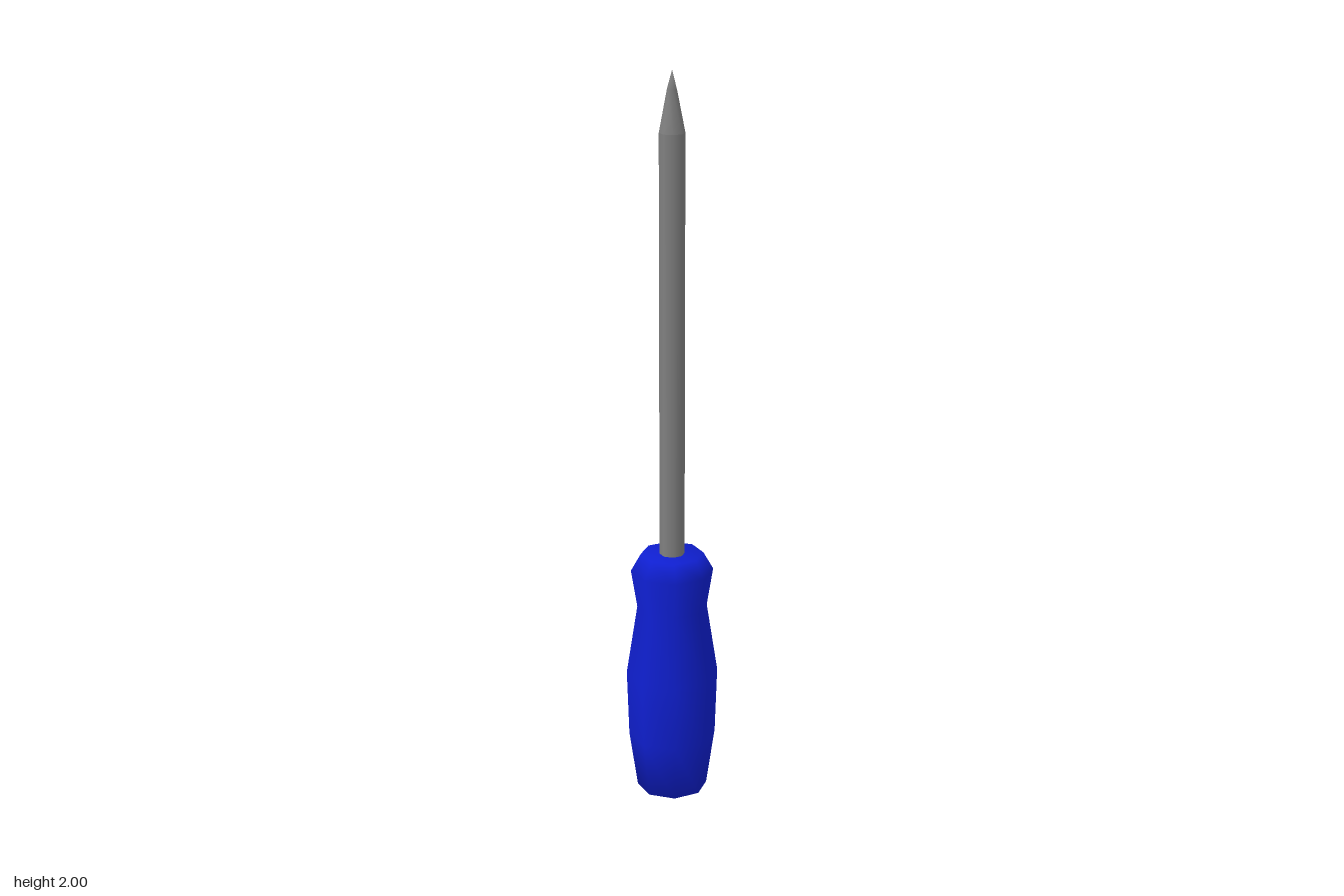
import * as THREE from 'three';
import { mergeVertices } from 'three/addons/utils/BufferGeometryUtils.js';

const SIDES = 8;

// Eight-sided turned part from [radius, height] pairs, listed bottom to top
function turned(name, profile, color) {
  const points = profile.map(([r, y]) => new THREE.Vector2(r, y));
  const mesh = new THREE.Mesh(
    new THREE.LatheGeometry(points, SIDES),
    new THREE.MeshStandardMaterial({ color })
  );
  mesh.name = name;
  return mesh;
}

export function createModel() {
  const group = new THREE.Group();
  group.name = 'screwdriver';
  const blue = 0x0f1fd0, steel = 0x808080;

  // Handle: swelling grip, narrow neck and flared collar
  group.add(turned('handle', [
    [0, 0], [0.096, 0], [0.119, 0.16], [0.125, 0.345],
    [0.095, 0.54], [0.112, 0.645], [0.085, 0.693], [0, 0.693],
  ], blue));

  // Straight shaft, sunk a little into the handle
  group.add(turned('shaft', [[0.034, 0.65], [0.034, 1.84]], steel));

  // Cross tip: the diagonal corners are drawn in to leave four ridges
  const tip = turned('crossTip', [[0.034, 1.84], [0.017, 1.95], [0, 2]], steel);
  const pos = tip.geometry.attributes.position;
  for (let i = 0; i < pos.count; i++) {
    const x = pos.getX(i), z = pos.getZ(i);
    const diagonal = Math.min(Math.abs(x), Math.abs(z)) > 0.001;
    if (diagonal && pos.getY(i) > 1.9) {
      pos.setX(i, x * 0.65);
      pos.setZ(i, z * 0.65);
    }
  }
  tip.geometry.deleteAttribute('uv');
  tip.geometry.deleteAttribute('normal');
  tip.geometry = mergeVertices(tip.geometry, 1e-4);
  tip.geometry.computeVertexNormals();
  group.add(tip);

  return group;
}
